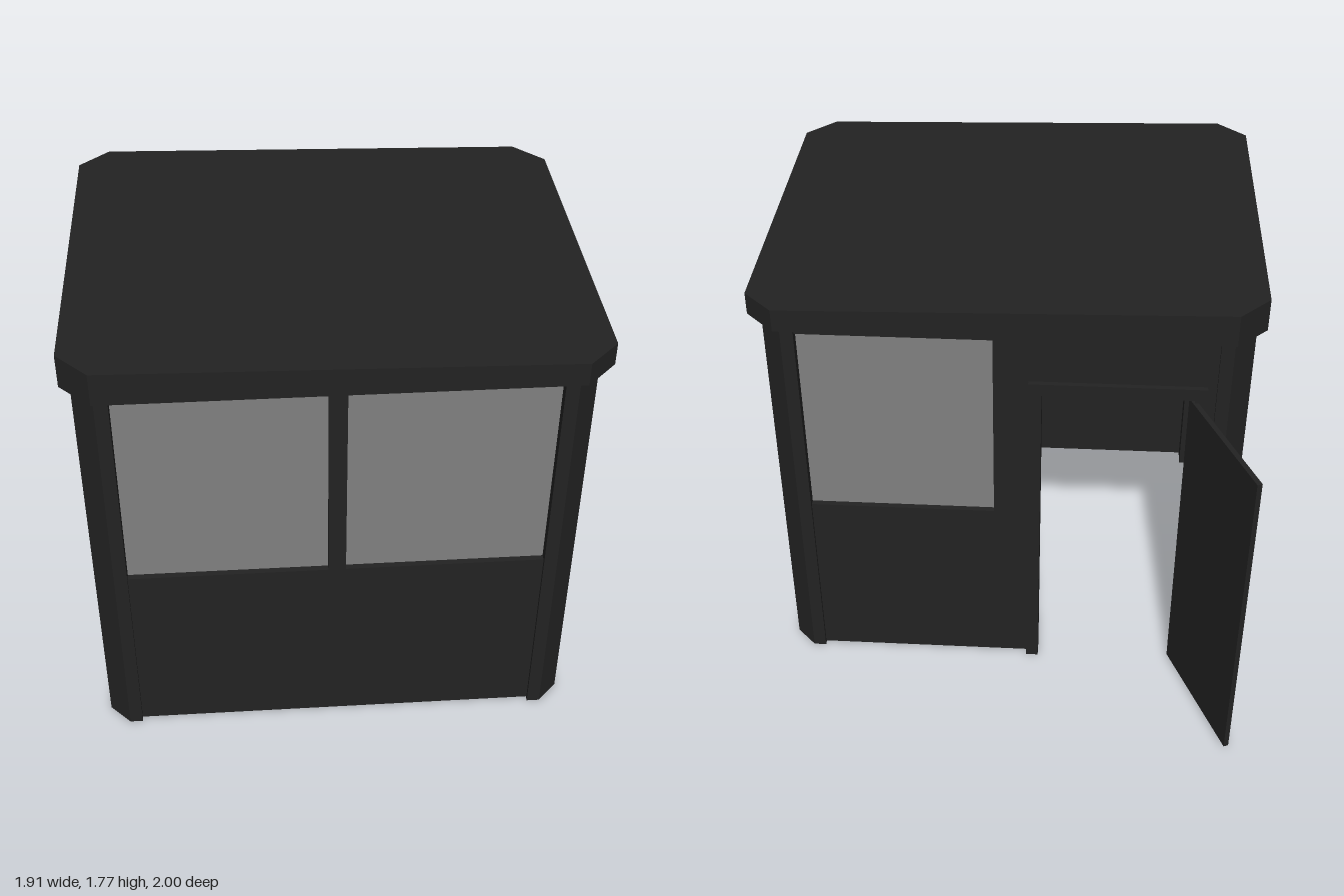
import * as THREE from 'three';

const CX = -0.007, CZ = 0.218;          // centre of the cabin
const HX = 0.912, HZ = 0.742;           // half sizes to the outside of the posts
const PX = 0.782, PZ = 0.61;            // half widths between the posts
const SILL = 0.78, HEAD = 1.597, EAVE = 1.64;

export function createModel() {
  const dark = new THREE.MeshStandardMaterial({ color: 0x222222 });
  dark.name = 'charcoal';
  const glass = new THREE.MeshStandardMaterial({ color: 0x808080 });
  glass.name = 'grey glass';
  const wood = new THREE.MeshStandardMaterial({ color: 0x633f0c });
  wood.name = 'brown wood';

  const model = new THREE.Group();
  model.name = 'guardBooth';

  const outline = pts => new THREE.Shape(pts.map(p => new THREE.Vector2(p[0], p[1])));
  const rect = (u0, u1, y0, y1) => [[u0, y0], [u1, y0], [u1, y1], [u0, y1]];
  const extrude = (shape, depth) => new THREE.ExtrudeGeometry(shape, { depth, bevelEnabled: false });

  function add(parent, name, geometry, material, x = 0, y = 0, z = 0) {
    const mesh = new THREE.Mesh(geometry, material);
    mesh.name = name;
    mesh.position.set(x, y, z);
    parent.add(mesh);
    return mesh;
  }
  // Box given by its limits
  function box(parent, name, material, x0, x1, y0, y1, z0, z1) {
    return add(parent, name, new THREE.BoxGeometry(x1 - x0, y1 - y0, z1 - z0), material,
      (x0 + x1) / 2, (y0 + y1) / 2, (z0 + z1) / 2);
  }
  // Upright prism from a plan of [x, z] points
  function prism(plan, y0, y1) {
    const g = extrude(outline(plan.map(([x, z]) => [x, -z])), y1 - y0);
    return g.rotateX(-Math.PI / 2).translate(0, y0, 0);
  }

  // Wall with its outside facing local +z; each window is [left, right, hatch]
  function wall(name, half, x, z, turn, windows, door) {
    const group = new THREE.Group();
    group.name = name;
    group.position.set(x, 0, z);
    group.rotation.y = turn;
    model.add(group);
    const w = half + 0.05;
    const notch = door ? [[door[0], 0.01], [door[0], door[2]], [door[1], door[2]], [door[1], 0.01]] : [];
    const panel = outline([[-w, 0.01], ...notch, [w, 0.01], [w, EAVE], [-w, EAVE]]);
    for (const [u0, u1, hatch] of windows) {
      panel.holes.push(outline(rect(u0, u1, SILL, HEAD)));
      const cut = hatch ? [[hatch[0], SILL], [hatch[0], hatch[2]], [hatch[1], hatch[2]], [hatch[1], SILL]] : [];
      const pane = outline([[u0, SILL], ...cut, [u1, SILL], [u1, HEAD], [u0, HEAD]]);
      add(group, 'windowPane', extrude(pane, 0.009), glass, 0, 0, -0.032);
    }
    add(group, 'wallPanel', extrude(panel, 0.05), dark, 0, 0, -0.05);
    return group;
  }

  // Four walls
  const inset = 0.013;
  const pair = (half, gap, hatch) => [[-half, -gap], [gap, half, hatch]];
  const hatch = [0.163, 0.42, 0.945];
  const door = [0.133, 0.703, 1.37];
  wall('frontWall', PX, CX, CZ + HZ - inset, 0, pair(PX, 0.033));
  wall('rightSideWall', PZ, CX - HX + inset, CZ, -Math.PI / 2, pair(PZ, 0.03));
  const hatchWall = wall('leftSideWall', PZ, CX + HX - inset, CZ, Math.PI / 2, pair(PZ, 0.03, hatch));
  const backWall = wall('backWall', PX, CX, CZ - HZ + inset, Math.PI, [[-PX, -0.05]], door);

  // Trim around the service hatch
  box(hatchWall, 'hatchHead', dark, 0.125, 0.455, 0.938, 0.957, -0.045, -0.005);
  box(hatchWall, 'hatchLeftTrim', dark, 0.133, 0.163, 0.855, 0.94, -0.045, -0.01);
  box(hatchWall, 'hatchRightTrim', dark, 0.42, 0.45, SILL, 0.94, -0.045, -0.01);

  // Door frame
  box(backWall, 'doorJamb', dark, door[0] - 0.05, door[0], 0, 1.42, -0.06, 0.02);
  box(backWall, 'doorJamb', dark, door[1], door[1] + 0.045, 0, 1.42, -0.06, 0.02);
  box(backWall, 'doorHead', dark, door[0], door[1], 1.37, 1.42, -0.06, 0.02);

  // Open door, swung outwards on its hinge
  const leaf = new THREE.Group();
  leaf.name = 'door';
  leaf.position.set(-0.7, 0, -0.5);
  leaf.rotation.y = Math.atan2(0.495, -0.215);
  model.add(leaf);
  box(leaf, 'doorLeaf', dark, 0, 0.54, 0.008, 1.36, -0.01, 0.01);

  // Chamfered corner posts
  const c = 0.08;
  for (const sx of [-1, 1]) {
    for (const sz of [-1, 1]) {
      const plan = [[PX, PZ], [HX, PZ], [HX, HZ - c], [HX - c, HZ], [PX, HZ]]
        .map(([x, z]) => [CX + sx * x, CZ + sz * z]);
      add(model, 'cornerPost', prism(plan, 0, EAVE), dark);
    }
  }

  // Roof slab with cut corners, its top sloping down towards +x
  const rx = 0.957, rz = 0.78, k = 0.115;
  const roofPlan = [[rx - k, rz], [rx, rz - k], [rx, k - rz], [rx - k, -rz],
    [k - rx, -rz], [-rx, k - rz], [-rx, rz - k], [k - rx, rz]].map(([x, z]) => [x, z + 0.22]);
  const roof = prism(roofPlan, EAVE - 0.003, 1.75);
  const p = roof.attributes.position;
  for (let i = 0; i < p.count; i++) {
    if (p.getY(i) > 1.7) p.setY(i, 1.746 - 0.022 * p.getX(i));
  }
  roof.computeVertexNormals();
  add(model, 'roof', roof, dark);

  // Desk along the hatch wall
  box(model, 'deskTop', wood, 0.22, 0.84, 0.74, 0.765, -0.385, 0.89);
  box(model, 'deskEdge', dark, 0.2, 0.22, 0.735, 0.766, -0.385, 0.89);

  return model;
}
